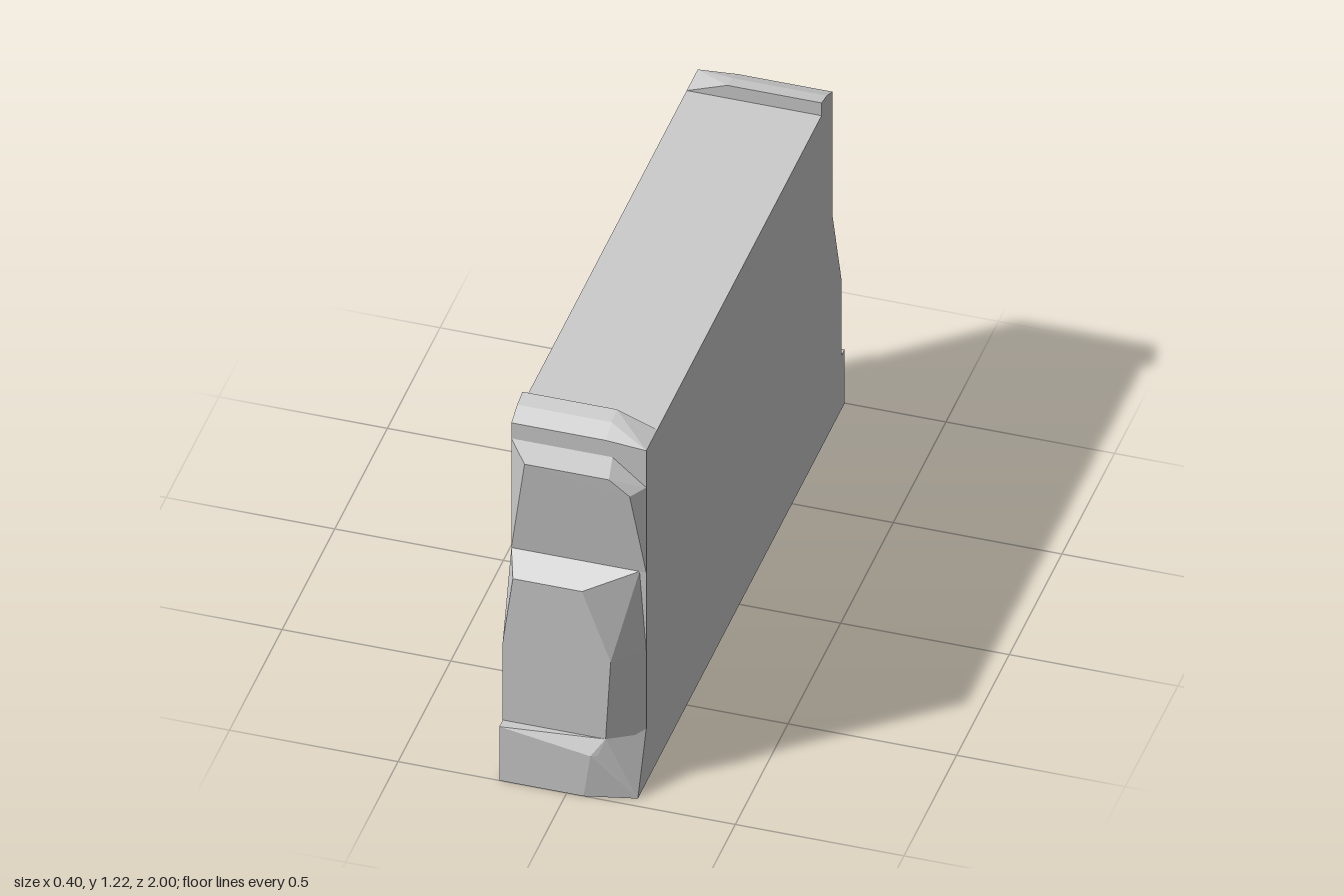
import * as THREE from 'three';
import { ConvexGeometry } from 'three/addons/geometries/ConvexGeometry.js';

const W = 0.2; // half thickness of the wall
const FACE = 0.885; // z of the pillar face the stones sit on

const material = new THREE.MeshStandardMaterial({ color: 0xcccccc, flatShading: true });

// Faceted stone block from its corner points
function stone(name, corners) {
  const points = corners.map(([x, y, z]) => new THREE.Vector3(x, y, z));
  const mesh = new THREE.Mesh(new ConvexGeometry(points), material);
  mesh.name = name;
  return mesh;
}

function createPillar(name) {
  const pillar = new THREE.Group();
  pillar.name = name;

  // Upright with a cap that slopes forward and is chipped on one side
  const upright = [];
  for (const [z, top] of [[0.78, 1.215], [0.83, 1.205], [FACE, 1.18]]) {
    upright.push([-W, 0, z], [W, 0, z], [-W, top, z], [0.08, top, z], [W, 1.17, z]);
  }
  pillar.add(stone('pillarUpright', upright));

  // Upper stone leans out toward its top
  pillar.add(stone('upperStone', [
    [-W, 1.125, FACE], [0.1, 1.125, FACE], [W, 1.04, FACE], [W, 0.74, FACE],
    [-0.15, 1.07, 0.92], [0.1, 1.07, 0.92], [0.16, 1.02, 0.915],
    [0.18, 0.74, FACE], [-W, 0.74, FACE],
  ]));

  // Middle stone with a wide bevel on one side
  pillar.add(stone('middleStone', [
    [-W, 0.74, FACE], [0.18, 0.74, FACE], [W, 0.465, FACE], [W, 0.05, FACE], [-W, 0.05, FACE],
    [-0.17, 0.695, 0.967], [0.035, 0.695, 0.967], [0.12, 0.465, 0.967],
    [0.105, 0.19, 0.967], [-W, 0.19, 0.967], [-W, 0.465, 0.967],
  ]));

  // Foot stone with a chipped top edge
  pillar.add(stone('footStone', [
    [-W, 0, FACE], [W, 0, FACE], [W, 0.19, FACE], [-W, 0.19, FACE],
    [-W, 0, 1], [0.05, 0, 1], [W, 0, 0.965],
    [-W, 0.19, 1], [0.07, 0.145, 1], [0.09, 0.145, 0.99], [0.105, 0.19, 0.967],
  ]));
  return pillar;
}

export function createModel() {
  const model = new THREE.Group();
  model.name = 'stoneWall';

  // Plain wall between the two pillars
  const wall = new THREE.Mesh(new THREE.BoxGeometry(2 * W, 1.17, 1.56), material);
  wall.name = 'wallPanel';
  wall.position.y = 0.585;
  model.add(wall);

  // The back pillar is the front one turned half way round
  const back = createPillar('backPillar');
  back.rotation.y = Math.PI;
  model.add(createPillar('frontPillar'), back);
  return model;
}
